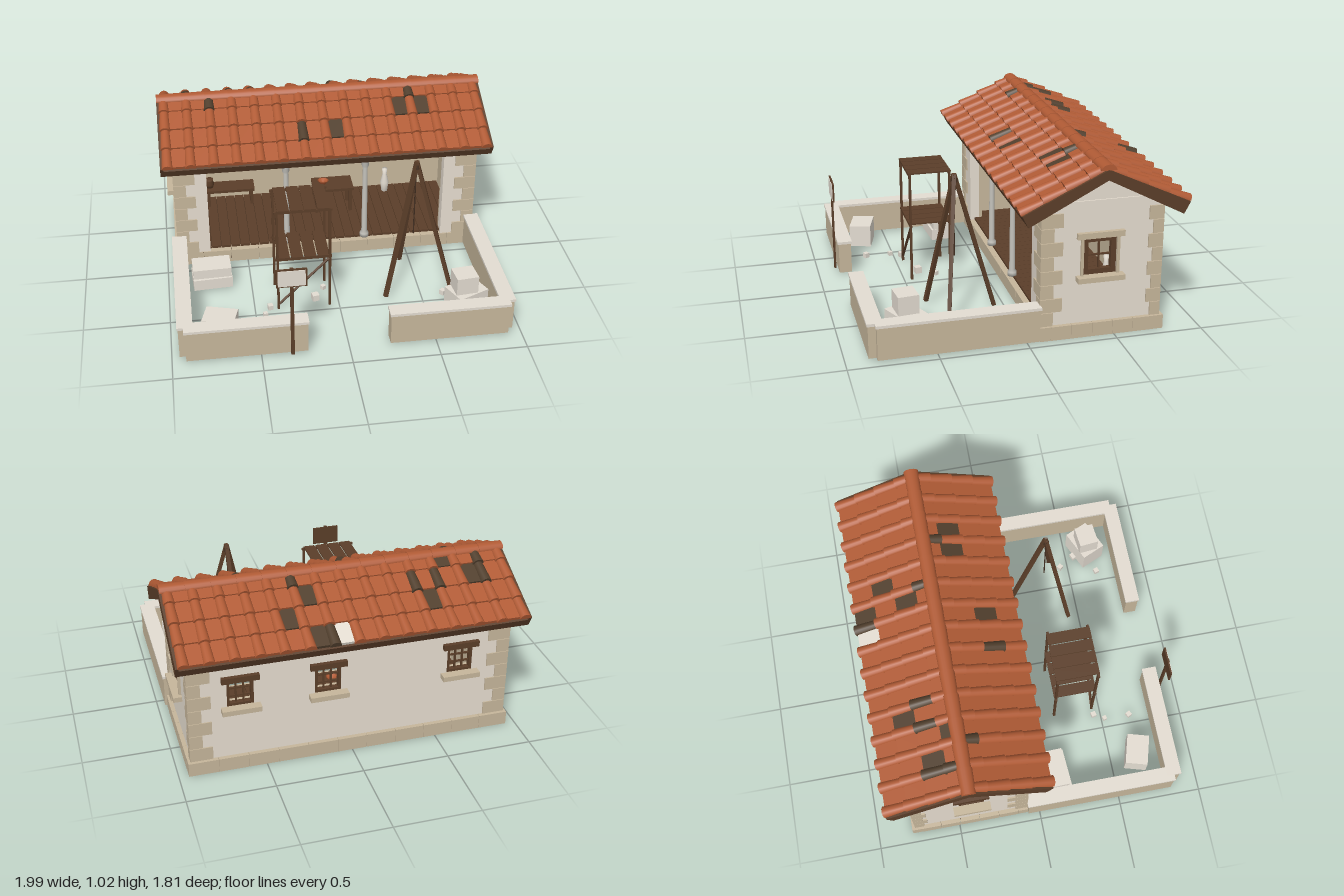
import * as THREE from 'three';

const mat = (name, color) => {
  const m = new THREE.MeshStandardMaterial({ color });
  m.name = name;
  return m;
};

export function createModel() {
  const M = {
    plaster: mat('plaster', 0xe6ddd0), stone: mat('tan stone', 0xc6b69b), pale: mat('pale stone', 0xe3dcd1),
    wood: mat('wood', 0x5b3e29), dark: mat('dark wood', 0x443022), tile: mat('clay tile', 0xb15b35),
    oldTile: mat('weathered tile', 0x513f2d), column: mat('grey column', 0xc4c2bb),
  };
  const model = new THREE.Group();
  model.name = 'courtyardHouse';
  const add = (name, geo, m, x = 0, y = 0, z = 0, parent = model) => {
    const mesh = new THREE.Mesh(geo, m);
    mesh.name = name;
    mesh.position.set(x, y, z);
    parent.add(mesh);
    return mesh;
  };
  const box = (name, m, w, h, d, x, y, z, parent) => add(name, new THREE.BoxGeometry(w, h, d), m, x, y, z, parent);
  const group = (name, x = 0, y = 0, z = 0, parent = model) => {
    const g = new THREE.Group();
    g.name = name;
    g.position.set(x, y, z);
    parent.add(g);
    return g;
  };
  // square beam between two points
  const beam = (name, m, a, b, t, parent = model) => {
    const A = new THREE.Vector3(...a), B = new THREE.Vector3(...b);
    const mesh = box(name, m, t, t, A.distanceTo(B), 0, 0, 0, parent);
    mesh.position.copy(A).add(B).multiplyScalar(0.5);
    mesh.quaternion.setFromUnitVectors(new THREE.Vector3(0, 0, 1), B.sub(A).normalize());
  };
  const poly = (pts) => new THREE.Shape(pts.map((p) => new THREE.Vector2(...p)));
  const hole = (x, y, w, h) => poly([[x - w / 2, y - h / 2], [x - w / 2, y + h / 2], [x + w / 2, y + h / 2], [x + w / 2, y - h / 2]]);
  const extrude = (shape, depth) => new THREE.ExtrudeGeometry(shape, { depth, bevelEnabled: false });
  const RZ = -0.42; // ridge line

  // floor and plinth blocks
  box('floorBase', M.dark, 1.82, 0.075, 0.64, 0, 0.042, RZ);
  for (let i = 0; i < 28; i++) box('floorPlank', M.wood, 0.057, 0.015, 0.62, -0.81 + i * 0.06, 0.09, RZ);
  for (let i = 0; i < 11; i++) {
    const w = 1.89 / 11, x = -0.945 + w * (i + 0.5);
    box('plinthBlock', M.stone, w - 0.002, 0.082, 0.06, x, 0.041, -0.76);
    box('plinthBlock', M.stone, w - 0.002, 0.082, 0.06, x, 0.041, -0.103);
  }
  for (const s of [-1, 1]) for (let i = 0; i < 5; i++) {
    box('plinthBlock', M.stone, 0.06, 0.082, 0.1175, s * 0.915, 0.041, -0.193 - i * 0.1195);
  }

  // back wall with three window openings, plaster outside and tan lining inside
  const winX = [-0.635, 0.14, 0.635];
  const backShape = (half) => {
    const s = poly([[-half, 0.08], [half, 0.08], [half, 0.77], [-half, 0.77]]);
    winX.forEach((x) => s.holes.push(hole(x, 0.485, 0.15, 0.16)));
    return s;
  };
  add('backWall', extrude(backShape(0.92), 0.045), M.plaster, 0, 0, -0.765);
  add('backWallLining', extrude(backShape(0.88), 0.03), M.stone, 0, 0, -0.72);

  // gable walls
  const gable = (inset, wh, wy, ww) => {
    const s = poly([[0.08 + inset, 0.08], [0.765 - inset, 0.08], [0.765 - inset, 0.755], [0.42, 0.935], [0.08 + inset, 0.755]]);
    s.holes.push(hole(0.41, wy, ww, wh));
    return s;
  };
  for (const s of [-1, 1]) {
    const dims = s > 0 ? [0.22, 0.475, 0.19] : [0.16, 0.485, 0.15];
    add('gableWall', extrude(gable(0.001, ...dims), 0.045).rotateY(Math.PI / 2), M.plaster, s > 0 ? 0.875 : -0.92);
    add('gableLining', extrude(gable(0.04, ...dims), 0.03).rotateY(Math.PI / 2), M.stone, s > 0 ? 0.845 : -0.875);
    box('gableBand', M.plaster, 0.012, 0.03, 0.6, s * 0.922, 0.785, RZ);
    // front wall returns
    box('frontReturn', M.plaster, 0.19, 0.67, 0.06, s * 0.824, 0.415, -0.111);
    box('frontReturnLining', M.stone, 0.19, 0.67, 0.02, s * 0.824, 0.415, -0.15);
    // alternating corner stones
    for (const c of [{ z: -0.072, d: -1, long: 0.125, short: 0.075 }, { z: -0.772, d: 1, long: 0.085, short: 0.06 }]) {
      for (let k = 0; k < 8; k++) {
        const lx = k % 2 ? 0.075 : 0.13, lz = k % 2 ? c.long : c.short;
        box('cornerStone', M.stone, lx, 0.079, lz, s * (0.93 - lx / 2), 0.122 + k * 0.0825, c.z + c.d * lz / 2);
      }
    }
  }

  // windows face local +z
  const windowUnit = (x, y, z, turn, w, h, stoneFrame) => {
    const g = group('window', x, y, z);
    g.rotation.y = turn;
    const t = stoneFrame ? 0.03 : 0.016;
    for (const s of [-1, 1]) {
      box('frameSide', M.wood, t, h, 0.03, s * (w - t) / 2, 0, -0.018, g);
      box('frameRail', M.wood, w, t, 0.03, 0, s * (h - t) / 2, -0.018, g);
      if (stoneFrame) box('jamb', M.stone, 0.016, h, 0.02, s * (w / 2 + 0.008), 0, 0.005, g);
    }
    for (const s of stoneFrame ? [0] : [-1, 1]) {
      box('mullion', M.wood, 0.009, h, 0.014, s * 0.021, 0, -0.02, g);
      box('glazingBar', M.wood, w, 0.008, 0.012, 0, s * 0.024, -0.02, g);
    }
    box('lintel', stoneFrame ? M.stone : M.wood, stoneFrame ? 0.27 : 0.21, 0.034, 0.04, 0, h / 2 + 0.016, 0.004, g);
    box('sill', M.stone, stoneFrame ? 0.27 : 0.22, 0.03, 0.07, 0, -h / 2 - 0.014, 0.015, g);
  };
  winX.forEach((x) => windowUnit(x, 0.485, -0.765, Math.PI, 0.15, 0.16, false));
  windowUnit(0.92, 0.475, -0.41, Math.PI / 2, 0.19, 0.22, true);
  windowUnit(-0.92, 0.485, -0.41, -Math.PI / 2, 0.15, 0.16, false);

  // porch beam and columns
  box('porchBeam', M.wood, 1.53, 0.07, 0.06, 0, 0.705, -0.085);
  const colProfile = [[0, 0], [0.028, 0], [0.028, 0.025], [0.018, 0.04], [0.015, 0.5], [0.022, 0.515], [0.022, 0.535], [0.03, 0.555], [0.03, 0.575], [0, 0.575]];
  const colGeo = new THREE.LatheGeometry(colProfile.map((p) => new THREE.Vector2(...p)), 14);
  for (const x of [-0.247, 0.242]) add('column', colGeo, M.column, x, 0.095, -0.105);

  // roof deck, with taller barge boards at both ends
  const chevron = (d, ridge, eave) => poly([[0, ridge], [-d, eave], [-0.437, 0.702], [0, 0.93], [0.437, 0.702], [d, eave]]);
  add('roofDeck', extrude(chevron(0.46, 0.968, 0.748), 1.96).rotateY(Math.PI / 2), M.wood, -0.98, 0, RZ);
  for (const x of [-0.995, 0.977]) {
    add('bargeBoard', extrude(chevron(0.472, 0.988, 0.769), 0.018).rotateY(Math.PI / 2), M.wood, x, 0, RZ);
  }

  // tiled slopes: local +z runs down the slope
  const SLOPE = 0.44, L = 0.508, ROW = 0.138;
  const old = {
    front: { cover: ['2,3', '11,3', '6,1'], pan: ['10,2', '11,2', '7,1'], pale: [] },
    back: { cover: ['1,2', '1,3', '3,2', '4,2', '8,0', '9,3'], pan: ['1,2', '3,1', '2,3', '8,0', '9,1', '8,2'], pale: ['7,0'] },
  };
  const halfTube = (r1, r2, len) => new THREE.CylinderGeometry(r1, r2, len, 8, 1, false, Math.PI / 2, Math.PI).rotateX(Math.PI / 2);
  for (const side of ['front', 'back']) {
    const flip = side === 'front' ? 1 : -1;
    const turn = group(side + 'Roof', 0, 0.974, RZ);
    turn.rotation.y = flip > 0 ? 0 : Math.PI;
    const slope = group('slope', 0, 0, 0, turn);
    slope.rotation.x = SLOPE;
    for (let r = 0; r < 4; r++) {
      const end = L - r * ROW, start = Math.max(0.005, end - ROW - 0.02), len = end - start, mid = (start + end) / 2;
      const panGeo = new THREE.BoxGeometry(0.112, 0.018, len), coverGeo = halfTube(0.033, 0.027, len + 0.012);
      for (let i = 0; i < 15; i++) {
        const key = i + ',' + r, x = -0.953 + 0.1361 * i;
        const cover = add('coverTile', coverGeo, old[side].cover.includes(key) ? M.oldTile : M.tile, flip * x, 0.01, mid + 0.005, slope);
        cover.rotation.x = -0.08;
        if (i === 14) continue;
        const m = old[side].pale.includes(key) ? M.pale : old[side].pan.includes(key) ? M.oldTile : M.tile;
        add('panTile', panGeo, m, flip * (x + 0.068), 0.009, mid, slope).rotation.x = -0.08;
      }
    }
    // rafter tails show under the porch eave only
    if (flip > 0) for (let i = 0; i < 12; i++) box('rafter', M.wood, 0.024, 0.045, 0.42, -0.8 + i * 1.6 / 11, -0.068, 0.26, slope);
  }
  for (let i = 0; i < 14; i++) {
    add('ridgeTile', halfTube(0.044, 0.04, 0.148).rotateY(Math.PI / 2).scale(1, 0.75, 1), M.tile, -0.92 + i * 0.1415, 0.985, RZ);
  }

  // yard walls with caps
  const yardWall = (w, d, x, z) => {
    box('yardWall', M.stone, w, 0.19, d, x, 0.105, z);
    box('yardWallCap', M.pale, w + 0.012, 0.016, d + 0.012, x, 0.207, z);
  };
  for (const s of [-1, 1]) {
    yardWall(0.078, 0.9, s * 0.917, 0.38);
    yardWall(0.685, 0.076, s * 0.578, 0.835);
  }

  // scaffold with two decks
  const scaffold = group('scaffold');
  for (const x of [-0.36, -0.055]) for (const z of [0.21, 0.452]) {
    box('post', M.wood, 0.014, 0.68, 0.014, x, 0.34, z, scaffold);
  }
  for (const z of [0.21, 0.452]) for (const y of [0.35, 0.672]) box('longRail', M.wood, 0.335, 0.012, 0.014, -0.21, y, z, scaffold);
  for (let i = 0; i < 4; i++) for (const y of [0.36, 0.682]) box('deckPlank', M.wood, 0.069, 0.009, 0.262, -0.323 + i * 0.077, y, 0.33, scaffold);
  beam('brace', M.wood, [-0.36, 0.03, 0.452], [-0.055, 0.34, 0.452], 0.012, scaffold);

  // tripod hoist
  const tripod = group('tripod');
  for (const [x, z] of [[0.285, 0.435], [0.69, 0.385], [0.44, 0.06]]) beam('tripodLeg', M.wood, [x, 0.01, z], [0.472, 0.85, 0.297], 0.023, tripod);
  add('lashing', new THREE.CylinderGeometry(0.018, 0.022, 0.025, 8), M.dark, 0.472, 0.82, 0.297, tripod);
  add('rope', new THREE.CylinderGeometry(0.004, 0.004, 0.46, 6), M.dark, 0.468, 0.59, 0.3, tripod);

  // blank board on a post
  box('signPost', M.wood, 0.02, 0.59, 0.012, -0.325, 0.305, 0.89);
  box('signBoard', M.wood, 0.17, 0.115, 0.01, -0.325, 0.535, 0.889);
  box('signFace', M.pale, 0.152, 0.1, 0.004, -0.325, 0.535, 0.896);

  // stone blocks and rubble: w, h, d, x, base y, z, turn
  const blocks = [
    [0.235, 0.07, 0.15, -0.735, 0.01, 0.142, 0.06], [0.23, 0.06, 0.14, -0.735, 0.08, 0.132, 0.03],
    [0.185, 0.14, 0.135, -0.715, 0.01, 0.66, -0.28], [0.2, 0.16, 0.155, 0.725, 0.01, 0.63, 0.42],
    [0.13, 0.11, 0.12, 0.71, 0.17, 0.63, 0.1], [0.04, 0.04, 0.04, -0.135, 0.005, 0.4, 0.2],
    [0.03, 0.03, 0.03, -0.41, 0.005, 0.455, 0.2], [0.024, 0.025, 0.024, -0.445, 0.005, 0.52, 0.3],
    [0.03, 0.03, 0.03, -0.45, 0.005, 0.675, 0.5], [0.03, 0.03, 0.03, 0.63, 0.005, 0.45, 0.7],
    [0.04, 0.03, 0.03, 0.69, 0.005, 0.55, 0.4], [0.03, 0.03, 0.03, 0.56, 0.005, 0.68, 0.3],
    [0.025, 0.025, 0.025, -0.075, 0.005, 0.3, 0.6],
  ];
  for (const [w, h, d, x, y, z, r] of blocks) box('stoneBlock', M.pale, w, h, d, x, y + h / 2, z).rotation.y = r;

  // tables and pottery
  const table = (x, z, w, d, top) => {
    const g = group('table', x, 0, z);
    box('tableTop', M.wood, w, 0.018, d, 0, top - 0.009, 0, g);
    for (const sx of [-1, 1]) for (const sz of [-1, 1]) {
      box('tableLeg', M.wood, 0.02, top - 0.1, 0.02, sx * (w / 2 - 0.02), (top + 0.085) / 2 - 0.005, sz * (d / 2 - 0.02), g);
    }
  };
  table(0.09, -0.47, 0.26, 0.16, 0.275);
  table(-0.57, -0.62, 0.32, 0.12, 0.22);
  const lathe = (pts) => new THREE.LatheGeometry(pts.map((p) => new THREE.Vector2(...p)), 14);
  add('bowl', lathe([[0, 0], [0.015, 0], [0.036, 0.025], [0.03, 0.025], [0, 0.008]]), M.tile, 0.03, 0.275, -0.47);
  add('pot', lathe([[0, 0], [0.022, 0], [0.03, 0.025], [0.024, 0.05], [0.026, 0.06], [0, 0.06]]), M.wood, -0.7, 0.22, -0.62);
  add('jug', lathe([[0, 0], [0.02, 0], [0.028, 0.07], [0.014, 0.13], [0.018, 0.17], [0, 0.17]]), M.pale, 0.465, 0.095, -0.62);
  return model;
}
